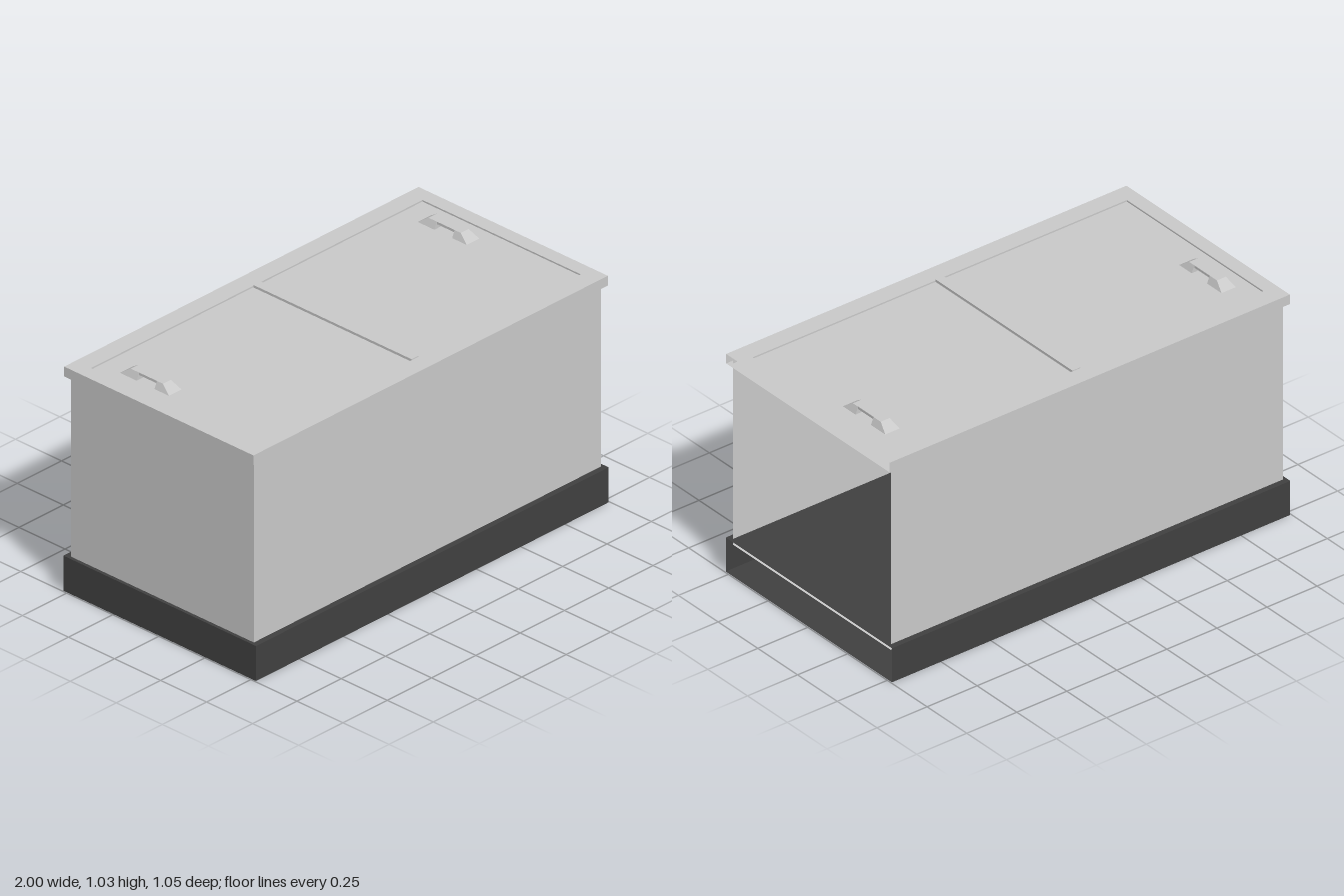
import * as THREE from 'three';

const lightGrey = new THREE.MeshStandardMaterial({ color: 0xc8c8c8, side: THREE.DoubleSide });
lightGrey.name = 'lightGrey';
const darkGrey = new THREE.MeshStandardMaterial({ color: 0x404040, side: THREE.DoubleSide });
darkGrey.name = 'darkGrey';

// Box given by its extents
function box(x0, x1, y0, y1, z0, z1) {
  const g = new THREE.BoxGeometry(x1 - x0, y1 - y0, z1 - z0);
  return g.translate((x0 + x1) / 2, (y0 + y1) / 2, (z0 + z1) / 2);
}

// Removes the faces lying wholly on the plane where the given axis has this value
function removeFace(geometry, axis, value) {
  const src = geometry.index ? geometry.toNonIndexed() : geometry;
  const p = src.attributes.position.array;
  const kept = [];
  for (let i = 0; i < p.length; i += 9) {
    const onPlane = [0, 3, 6].every((k) => Math.abs(p[i + k + axis] - value) < 1e-4);
    if (!onPlane) kept.push(...p.slice(i, i + 9));
  }
  const g = new THREE.BufferGeometry();
  g.setAttribute('position', new THREE.Float32BufferAttribute(kept, 3));
  g.computeVertexNormals();
  return g;
}

function add(parent, name, geometry, material) {
  const m = new THREE.Mesh(geometry, material);
  m.name = name;
  parent.add(m);
  return m;
}

// Rectangular rim, hollow inside and open at the +x end
function rimGeometry() {
  const [X, Z, hx, hz, y0, y1] = [1, 0.514, 0.935, 0.43, 0.966, 1.01];
  const rect = (C, a, b) => new C([[-a, -b], [a, -b], [a, b], [-a, b]].map(([u, v]) => new THREE.Vector2(u, v)));
  const shape = rect(THREE.Shape, X, Z);
  shape.holes.push(rect(THREE.Path, hx, hz));
  const g = new THREE.ExtrudeGeometry(shape, { depth: y1 - y0, bevelEnabled: false });
  g.rotateX(-Math.PI / 2).translate(0, y0, 0);
  return removeFace(g, 0, X);
}

// Handle foot: sides lean in, and the outer end slopes up to the bar
function footGeometry(zOuter, zTop, zInner) {
  const g = box(-0.037, 0.037, 1.0, 1.034, Math.min(zOuter, zInner), Math.max(zOuter, zInner)).toNonIndexed();
  const p = g.attributes.position;
  for (let i = 0; i < p.count; i++) {
    if (p.getY(i) < 1.02) continue;
    p.setX(i, p.getX(i) * 0.6);
    if (Math.abs(p.getZ(i) - zOuter) < 1e-4) p.setZ(i, zTop);
  }
  g.computeVertexNormals();
  return g;
}

function makeHandle(x) {
  const handle = new THREE.Group();
  handle.name = x > 0 ? 'leftHandle' : 'rightHandle';
  add(handle, 'frontFoot', footGeometry(-0.06, -0.11, -0.143), lightGrey);
  add(handle, 'backFoot', footGeometry(-0.335, -0.285, -0.24), lightGrey);
  add(handle, 'bar', box(-0.022, 0.022, 1.023, 1.034, -0.24, -0.143), lightGrey);
  handle.position.x = x;
  return handle;
}

export function createModel() {
  const model = new THREE.Group();
  model.name = 'chest';

  // Plinth and cabinet shells, open at the +x end
  add(model, 'plinth', removeFace(box(-0.995, 0.995, 0, 0.157, -0.523, 0.523), 0, 0.995), darkGrey);
  const cabinet = removeFace(box(-0.98, 0.98, 0.131, 0.986, -0.497, 0.497), 0, 0.98);
  add(model, 'cabinet', removeFace(cabinet, 1, 0.986), lightGrey);

  // Lid: rim, two slightly recessed panels and the strip between them
  const lid = new THREE.Group();
  lid.name = 'lid';
  model.add(lid);
  add(lid, 'rim', rimGeometry(), lightGrey);
  for (const s of [-1, 1]) {
    const [a, b] = [0.02 * s, 0.935 * s];
    add(lid, s > 0 ? 'leftPanel' : 'rightPanel',
      box(Math.min(a, b), Math.max(a, b), 0.996, 1.003, -0.43, 0.43), lightGrey);
    lid.add(makeHandle(0.84 * s));
  }
  add(lid, 'centreStrip', box(-0.02, 0.02, 0.996, 1.014, -0.43, 0.43), lightGrey);

  return model;
}
